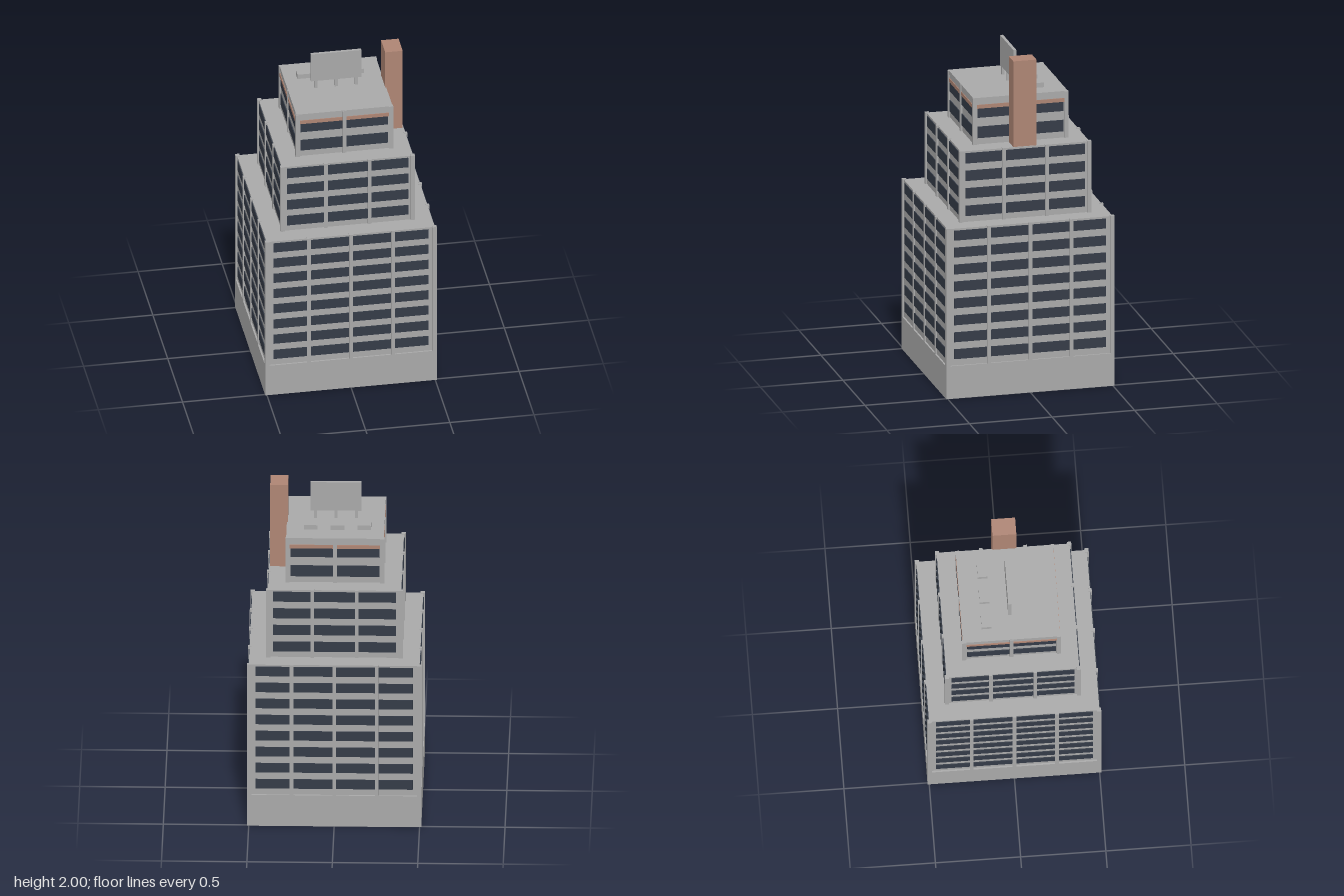
import * as THREE from 'three';

export function createModel() {
  const tower = new THREE.Group();
  tower.name = 'officeTower';

  const material = (name, color) => {
    const m = new THREE.MeshStandardMaterial({ color });
    m.name = name;
    return m;
  };
  const concrete = material('concrete', 0xa9a9a9);
  const glass = material('darkGlass', 0x343b47);
  const brick = material('brick', 0xae8574);

  // Box given by its limits on each axis
  function block(parent, name, mat, [x0, x1], [y0, y1], [z0, z1]) {
    const mesh = new THREE.Mesh(new THREE.BoxGeometry(x1 - x0, y1 - y0, z1 - z0), mat);
    mesh.position.set((x0 + x1) / 2, (y0 + y1) / 2, (z0 + z1) / 2);
    mesh.name = name;
    parent.add(mesh);
    return mesh;
  }
  const span = (h, c = 0) => [c - h, c + h];

  // One setback storey block: core, corner posts, and four equal facades
  function tier({ name, half, y0, y1, glassHalf, rows, rowHeight, piers }) {
    const g = new THREE.Group();
    g.name = name;
    tower.add(g);
    block(g, 'core', concrete, span(half), [y0, y1], span(half));
    const outer = half + 0.01;
    for (const sx of [-1, 1]) for (const sz of [-1, 1]) {
      block(g, 'cornerPost', concrete, span(0.0125, sx * (outer - 0.0125)),
        [y0, y1 + 0.004], span(0.0125, sz * (outer - 0.0125)));
    }
    for (let i = 0; i < 4; i++) {
      const facade = new THREE.Group();
      facade.name = 'facade';
      facade.rotation.y = i * Math.PI / 2;
      g.add(facade);
      for (const y of rows) {
        block(facade, 'windowBand', glass, span(glassHalf), [y, y + rowHeight],
          [half - 0.002, half + 0.005]);
      }
      for (const x of piers) {
        block(facade, 'pier', concrete, span(0.011, x), [y0, y1 + 0.003],
          [half - 0.01, outer]);
      }
    }
    return g;
  }
  const series = (n, start, step) => Array.from({ length: n }, (_, i) => start + i * step);

  // Plinth and three setbacks
  block(tower, 'plinth', concrete, span(0.51), [0, 0.2], span(0.51));
  tier({ name: 'lowerTier', half: 0.5, y0: 0.2, y1: 1.04, glassHalf: 0.46,
    rows: series(8, 0.24, 0.104), rowHeight: 0.06, piers: [-0.25, 0, 0.25] });
  tier({ name: 'middleTier', half: 0.39, y0: 1.04, y1: 1.474, glassHalf: 0.36,
    rows: series(4, 1.077, 0.1075), rowHeight: 0.063, piers: [-0.13, 0.13] });
  const upper = tier({ name: 'upperTier', half: 0.28, y0: 1.474, y1: 1.755, glassHalf: 0.26,
    rows: [1.513], rowHeight: 0.07, piers: [0] });

  // Top windows, brick frieze and roof slab
  for (let i = 0; i < 4; i++) {
    const top = new THREE.Group();
    top.name = 'topFloorFacade';
    top.rotation.y = i * Math.PI / 2;
    upper.add(top);
    block(top, 'windowBand', glass, span(0.26), [1.638, 1.694], [0.278, 0.285]);
  }
  block(upper, 'brickFrieze', brick, span(0.288), [1.695, 1.718], span(0.288));
  block(upper, 'friezeTrim', concrete, span(0.284), [1.718, 1.736], span(0.284));
  block(upper, 'roofSlab', concrete, span(0.286), [1.736, 1.761], span(0.286));

  // Rooftop units
  for (const x of [-0.169, -0.012, 0.145]) {
    block(tower, 'roofUnit', concrete, span(0.04, x), [1.755, 1.79], [-0.17, -0.112]);
  }

  // Blank sign panel on three legs
  const sign = new THREE.Group();
  sign.name = 'roofPanel';
  tower.add(sign);
  block(sign, 'panel', concrete, span(0.15), [1.81, 1.993], [-0.01, 0.008]);
  for (const x of [-0.12, 0, 0.12]) {
    block(sign, 'leg', concrete, span(0.009, x), [1.755, 1.815], span(0.008));
  }

  // Chimney shaft on the left side
  block(tower, 'chimney', brick, [0.28, 0.384], [0.01, 2], span(0.07));

  return tower;
}
